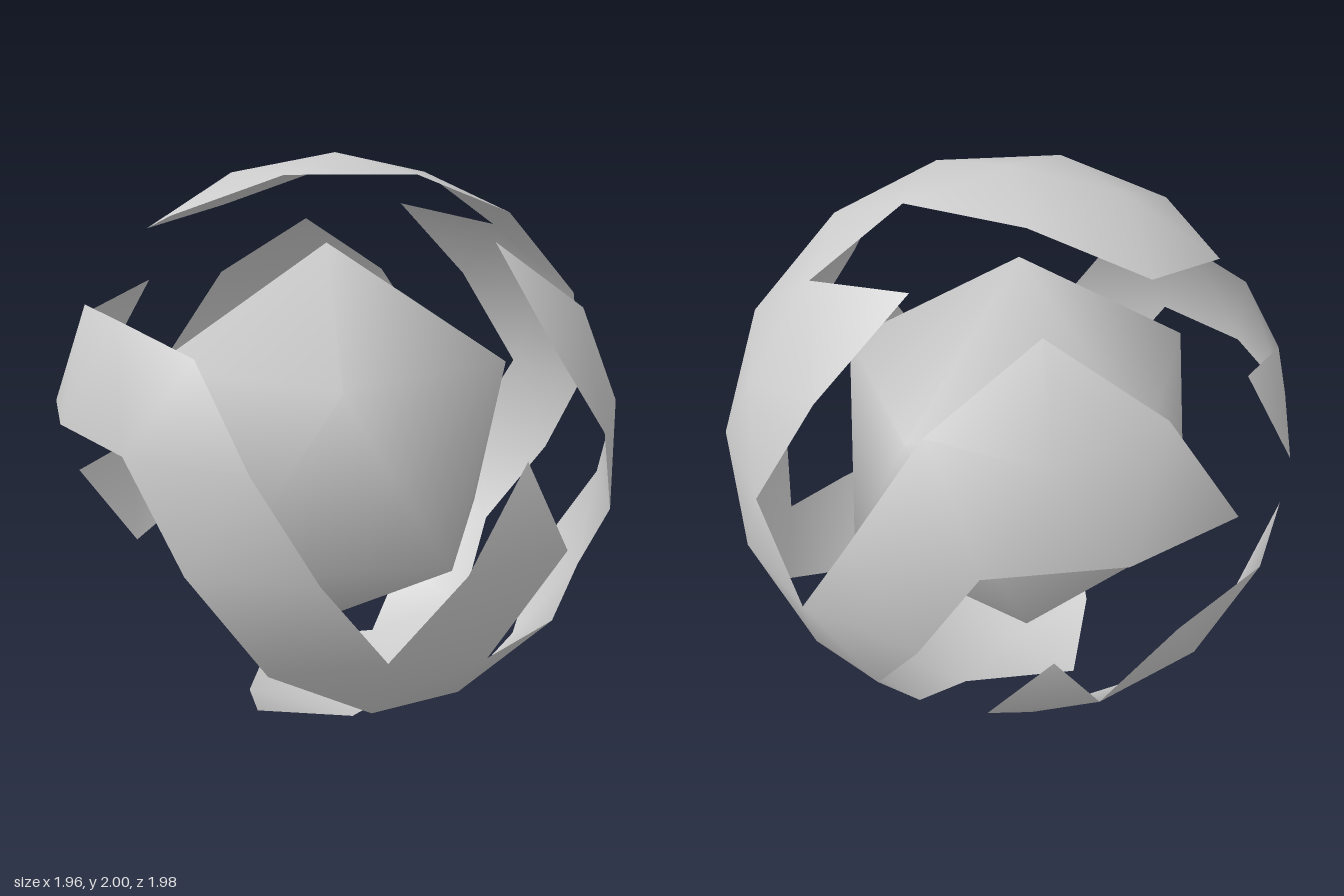
import * as THREE from 'three';

const DEG = Math.PI / 180;

// Sphere lattice: each ring is [height on unit sphere, azimuth offset], repeated five times.
// R, E lie between pole and corner, A is a corner, H/h and Z/z lie between corners, F, G are face centres.
const RINGS = {
  P: [1, 0], R: [0.9327, 0], E: [0.7397, 0], F: [0.8054, 36], A: [0.4472, 0],
  H: [0.5168, 23.6], h: [0.5168, -23.6], Z: [0.1561, 12.4], z: [0.1561, -12.4], G: [0.17, 36],
};

// Lattice point by name; a leading minus means the lower half, which is turned by 36 degrees
function point(name, base = 30.8) {
  const low = name[0] === '-';
  const key = low ? name.slice(1) : name;
  const [y, offset] = RINGS[key[0]];
  const az = (base + (low ? 36 : 0) + offset + 72 * Number(key[1] || 0)) * DEG;
  const r = Math.sqrt(1 - y * y);
  return new THREE.Vector3(r * Math.cos(az), low ? -y : y, r * Math.sin(az));
}

const strip = (s) => {
  const n = s.split(' ');
  return n.slice(2).map((c, i) => [n[i], n[i + 1], c]);
};

const fan = (s) => {
  const [c, ...n] = s.split(' ');
  return n.slice(1).map((b, i) => [c, n[i], b]);
};

// Smooth spherical surface from named triangles, all turned outward
function surface(name, triangles, base, radius = 1) {
  const pos = [], nor = [];
  for (const t of triangles) {
    const [a, b, c] = t.map((n) => point(n, base));
    const out = b.clone().sub(a).cross(c.clone().sub(a)).dot(a) > 0;
    for (const v of out ? [a, b, c] : [a, c, b]) {
      nor.push(v.x, v.y, v.z);
      pos.push(v.x * radius, v.y * radius, v.z * radius);
    }
  }
  const geo = new THREE.BufferGeometry();
  geo.setAttribute('position', new THREE.Float32BufferAttribute(pos, 3));
  geo.setAttribute('normal', new THREE.Float32BufferAttribute(nor, 3));
  const mesh = new THREE.Mesh(geo, new THREE.MeshStandardMaterial({ color: 0xcccccc, side: THREE.DoubleSide }));
  mesh.name = name;
  return mesh;
}

export function createModel() {
  const group = new THREE.Group();
  group.name = 'bandedSphere';

  // Inner core: smooth-shaded icosahedron
  const faces = [];
  for (let k = 0; k < 5; k++) {
    const n = (k + 1) % 5;
    faces.push(['P', `A${k}`, `A${n}`], ['-P', `-A${k}`, `-A${n}`],
      [`A${k}`, `A${n}`, `-A${k}`], [`-A${k}`, `-A${n}`, `A${n}`]);
  }
  const core = surface('innerCore', faces, 0, 0.708);
  core.position.set(-0.03, 0.99, 0);
  group.add(core);

  // Outer shell bands
  const shell = new THREE.Group();
  shell.name = 'outerShell';
  shell.position.y = 1;
  shell.add(
    // from the top cap down the back to the bottom cap
    surface('poleBand', [
      ...fan('P R0 R1 R2 R3 R4 R0'),
      ...fan('R2 R1 F1 E2 F2 R3'),
      ...strip('R0 R4 F4 E4 H4 A4'),
      ...fan('A4 H4 Z4 z4 h4 E4'),
      ...strip('F3 E4 h4'),
      ...strip('Z4 z4 -G3 -Z3 -H3 -A3 -E3'),
      ...strip('-H3 -E3 -F3 -R3 -R4'),
      ...fan('-P -R0 -R1 -R2 -R3 -R4 -R0'),
      ...strip('-R0 -R1 -F0'),
    ]),
    // back branch joining the pole band
    surface('backBand', [
      ...fan('A3 E3 h3 z3 Z3 H3 E3'),
      ...strip('h3 z3 G2'),
      ...strip('H3 Z3 G3 -z3 -Z3 -A3'),
    ]),
    // long band sweeping round the front and up the +x side
    surface('frontBand', [
      ...fan('A2 H2 Z2 z2 h2'),
      ...strip('z2 h2 G1 H1 Z1 A1 z1'),
      ...strip('Z1 z1 -G0 -Z0 -H0 -A0'),
      ...fan('-A0 -H0 -E0 -h0 -z0'),
      ...strip('-h0 -z0 -G4 Z0'),
      ...strip('-E0 -h0 -F4 -H4 -E4 -A4 -h4 -z4'),
      ...strip('-A4 -z4 -Z4 G4 z0 h0 A0 E0'),
    ]),
    // short separate piece low at the back
    surface('lowerBackBand', [
      ...strip('-G1 -h2 -z2 -A2 -Z2 -H2'),
      ...fan('-H2 -A2 -E2 -F2 -h3 -G2'),
    ]),
  );
  group.add(shell);
  return group;
}
